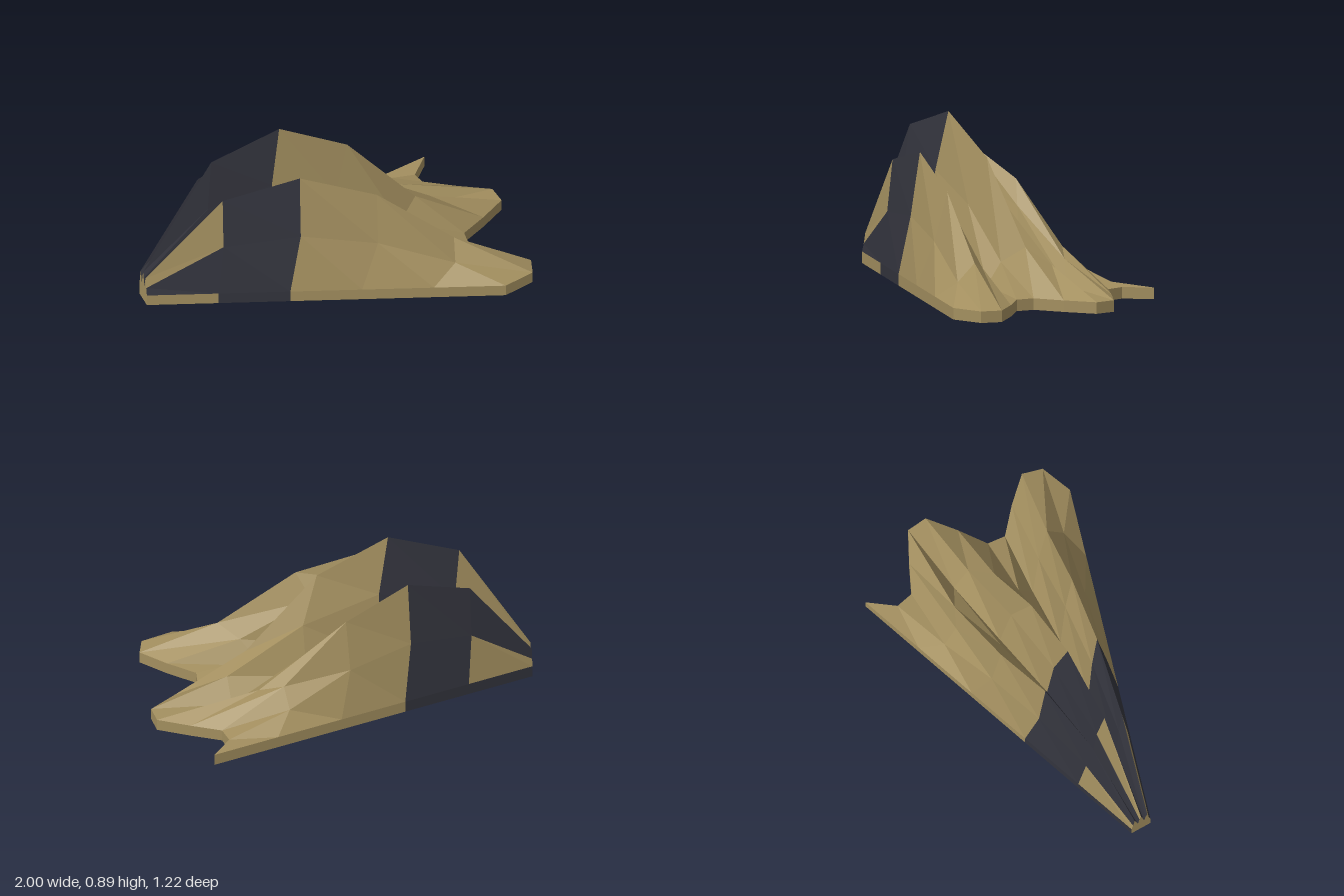
import * as THREE from 'three';

const sand = new THREE.MeshStandardMaterial({ color: 0xa38f5f });
sand.name = 'sand';
const charcoal = new THREE.MeshStandardMaterial({ color: 0x33343d });
charcoal.name = 'charcoal';

// Thirteen rays fan out from the narrow end; tips holds where each one ends in x
const tips = [0.76, 0.66, 0.68, 0.83, 0.99, 1.0, 0.86, 0.72, 0.71, 0.84, 0.96, 0.93, 0.76];
const APEX = -1.18, STEP = THREE.MathUtils.degToRad(2.9), SLAB = 0.06, RINGS = 5;

// Heights along a ray, from the narrow end to the tip
const edge = [0.06, 0.06, 0.06, 0.06, 0.06, 0.06];
const outerSlope = [0.10, 0.33, 0.37, 0.30, 0.15, 0.06];
const sideRidge = [0.155, 0.60, 0.70, 0.555, 0.245, 0.06];
const innerSlope = [0.13, 0.46, 0.53, 0.43, 0.20, 0.06];
const valley = [0.09, 0.20, 0.23, 0.19, 0.085, 0.06];
const midSlope = [0.14, 0.50, 0.58, 0.45, 0.20, 0.06];
const midRidge = [0.17, 0.77, 0.89, 0.70, 0.285, 0.06];
const half = [edge, outerSlope, sideRidge, innerSlope, valley, midSlope];
const heights = [...half, midRidge, ...half.slice().reverse()];

function point(ray, ring, y = heights[ray][ring]) {
  const x = -1 + (ring / RINGS) * (tips[ray] + 1);
  return [x, y, (x - APEX) * Math.tan((ray - 6) * STEP)];
}

// Collects quads, then makes one flat-faced mesh
function patch(name, material) {
  const data = [];
  return {
    quad(a, b, c, d) { data.push(...a, ...b, ...c, ...a, ...c, ...d); },
    mesh() {
      const geometry = new THREE.BufferGeometry();
      geometry.setAttribute('position', new THREE.Float32BufferAttribute(data, 3));
      geometry.computeVertexNormals();
      const mesh = new THREE.Mesh(geometry, material);
      mesh.name = name;
      return mesh;
    },
  };
}

export function createModel() {
  const pleats = patch('pleats', sand);
  const band = patch('darkBand', charcoal);
  const slab = patch('baseSlab', sand);
  const slabBand = patch('baseSlabBand', charcoal);
  const last = tips.length - 1;

  for (let i = 0; i < last; i++) {
    // Pleated top: two dark rings, broken by a sand panel in every fifth column
    for (let k = 0; k < RINGS; k++) {
      const dark = k === 1 || (k === 0 && i % 5 !== 0);
      (dark ? band : pleats).quad(point(i, k), point(i + 1, k), point(i + 1, k + 1), point(i, k + 1));
    }
    // Underside
    slab.quad(point(i, 0, 0), point(i, RINGS, 0), point(i + 1, RINGS, 0), point(i + 1, 0, 0));
    // Scalloped wide end
    slab.quad(point(i, RINGS, 0), point(i, RINGS, SLAB), point(i + 1, RINGS, SLAB), point(i + 1, RINGS, 0));
    // Narrow end
    slab.quad(point(i, 0, 0), point(i + 1, 0, 0), point(i + 1, 0), point(i, 0));
  }

  // Long side walls of the slab
  for (let k = 0; k < RINGS; k++) {
    (k === 1 ? slabBand : slab).quad(
      point(last, k, 0), point(last, k + 1, 0), point(last, k + 1, SLAB), point(last, k, SLAB));
    (k < 2 ? slabBand : slab).quad(
      point(0, k, 0), point(0, k, SLAB), point(0, k + 1, SLAB), point(0, k + 1, 0));
  }

  const group = new THREE.Group();
  group.name = 'pleatedFan';
  group.add(pleats.mesh(), band.mesh(), slab.mesh(), slabBand.mesh());
  return group;
}
